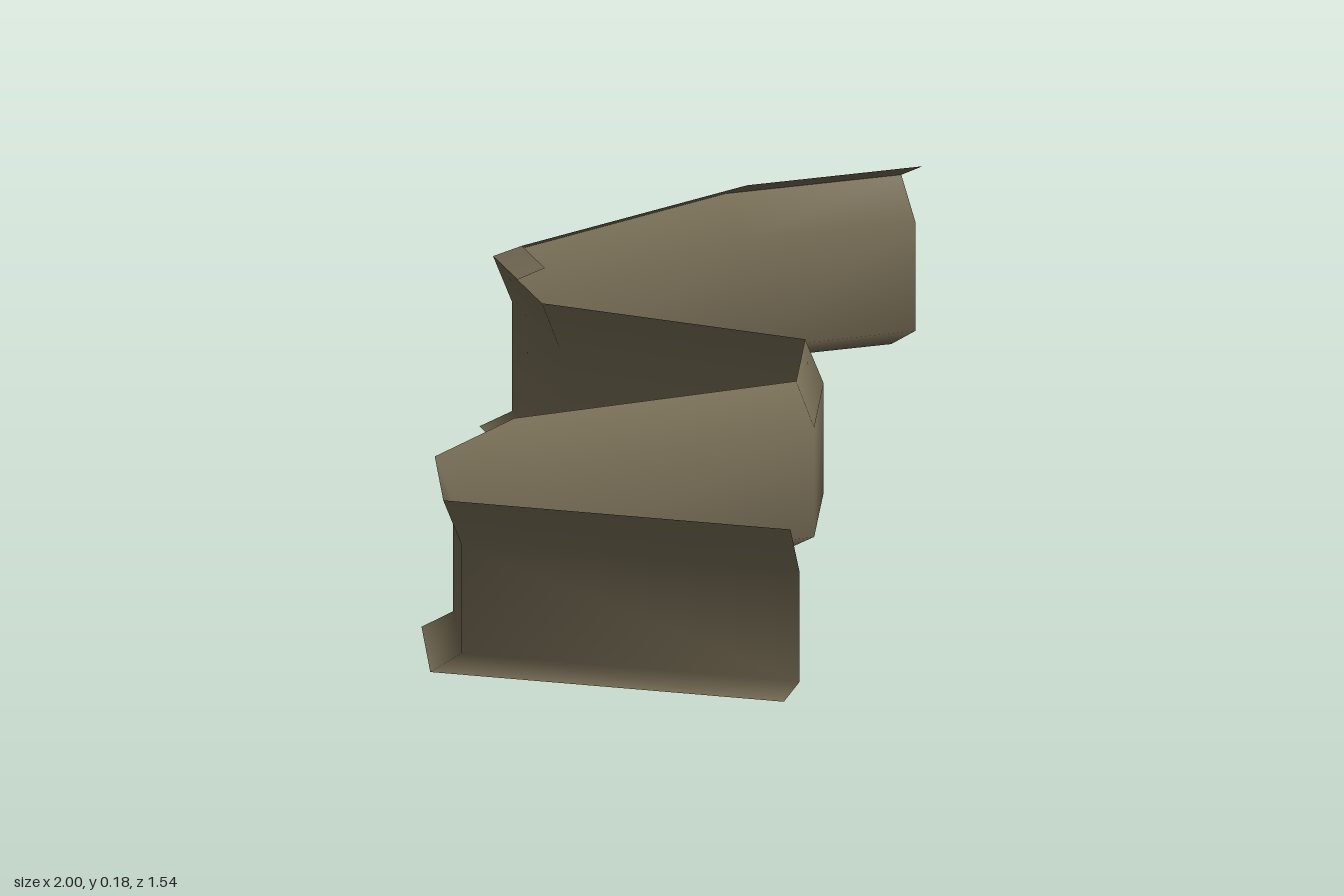
import * as THREE from 'three';

// Plan of the wall's back foot line as [x, z], from the left end to the right end
const PLAN = [
  [-0.93, 0.767], [-1, 0.37], [-0.77, 0.165], [-0.515, 0.055], [-0.145, 0.105],
  [0.07, -0.065], [0.09, -0.42], [0.31, -0.67], [0.79, -0.77], [1, -0.72],
];
const DEPTH = 0.031;

// Unit normal of the segment a-b, pointing to the front of the wall
function segmentNormal(a, b) {
  return new THREE.Vector2(a[1] - b[1], b[0] - a[0]).normalize();
}

// Mitred front direction at each plan point
function miters(plan) {
  return plan.map((p, i) => {
    if (i === plan.length - 1) return new THREE.Vector2(0, 1); // square cut at the right end
    const next = segmentNormal(p, plan[i + 1]);
    if (i === 0) return next;
    const prev = segmentNormal(plan[i - 1], p);
    return prev.clone().add(next).divideScalar(1 + prev.dot(next));
  });
}

// Sweeps an open profile of [depth fraction, height] along a plan
function sweep(name, plan, profile, material) {
  const dirs = miters(plan);
  const positions = [];
  const index = [];
  const n = profile.length;
  plan.forEach(([x, z], i) => {
    for (const [t, y] of profile) {
      positions.push(x + dirs[i].x * t * DEPTH, y, z + dirs[i].y * t * DEPTH);
    }
  });
  for (let i = 0; i < plan.length - 1; i++) {
    for (let j = 0; j < n - 1; j++) {
      const a = i * n + j;
      const b = a + n;
      index.push(a, b, b + 1, a, b + 1, a + 1);
    }
  }
  const geometry = new THREE.BufferGeometry();
  geometry.setAttribute('position', new THREE.Float32BufferAttribute(positions, 3));
  geometry.setIndex(index);
  geometry.computeVertexNormals();
  const mesh = new THREE.Mesh(geometry, material);
  mesh.name = name;
  return mesh;
}

export function createModel() {
  const group = new THREE.Group();
  group.name = 'windingWall';
  const stone = new THREE.MeshStandardMaterial({ color: 0x7a7058, side: THREE.DoubleSide });
  stone.name = 'olive stone';

  // Upright web with its foot and top edge flared to the back
  group.add(sweep('wall', PLAN, [[0, 0], [1, 0.016], [1, 0.125], [0.42, 0.17]], stone));

  // Nearly level lip over the right end of the wall, starting halfway along a segment
  const lipPlan = [[0.2, -0.545], ...PLAN.slice(7)];
  group.add(sweep('topLip', lipPlan, [[1.3, 0.181], [0.42, 0.17]], stone));

  return group;
}
